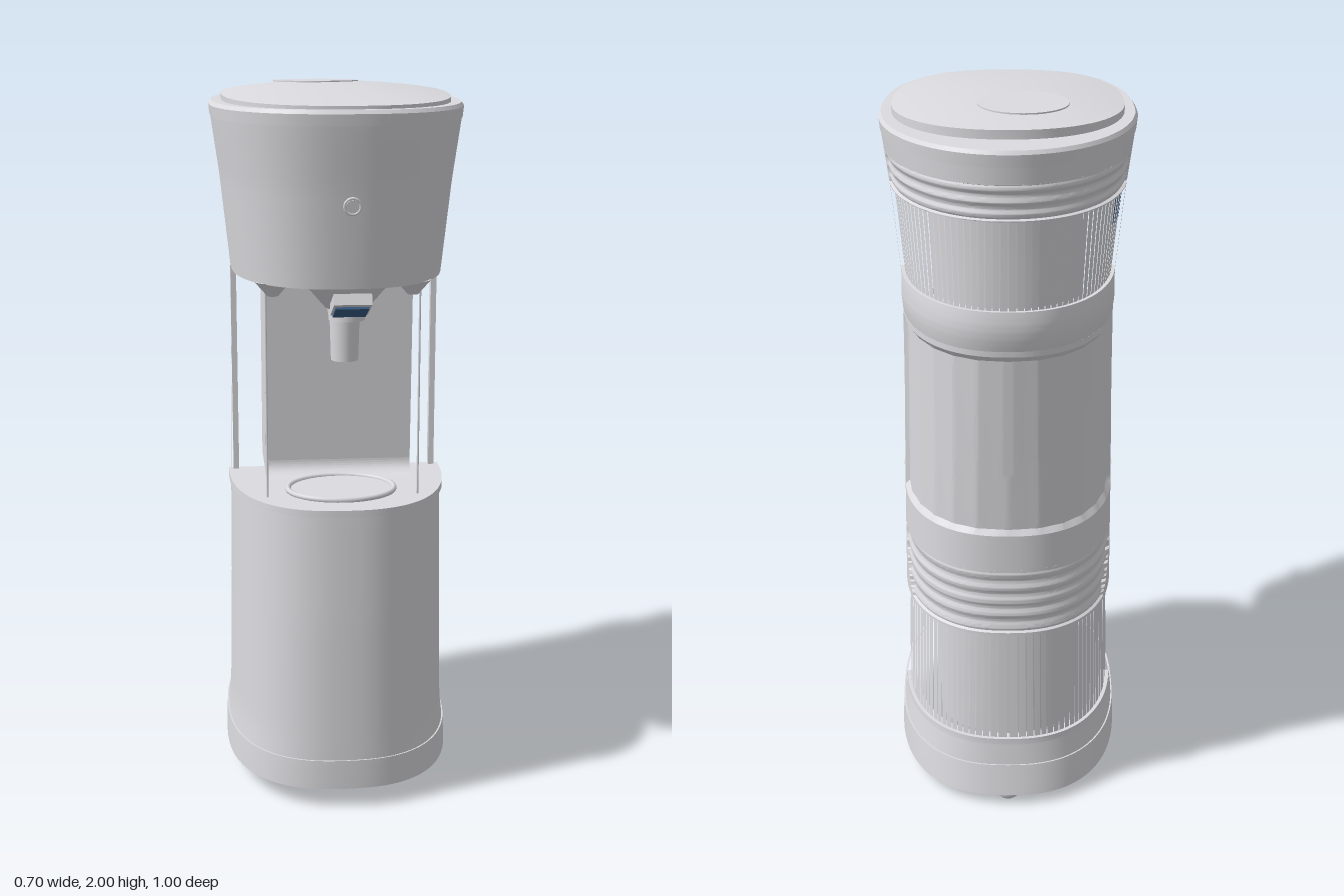
import * as THREE from 'three';
import { mergeGeometries, toCreasedNormals } from 'three/addons/utils/BufferGeometryUtils.js';

const PI = Math.PI, TAU = PI * 2;
const mat = (name, color) => Object.assign(new THREE.MeshStandardMaterial({ color }), { name });

// Body profile: height, half width, front depth, back depth, roundness of the back
const PROFILE = [
  [0.04, 0.326, 0.45, 0.465, 2.45], [0.13, 0.323, 0.45, 0.447, 2.45], [0.2, 0.315, 0.449, 0.438, 2.4],
  [0.55, 0.308, 0.444, 0.43, 2.35], [0.87, 0.304, 0.435, 0.43, 2.35], [1.2, 0.298, 0.43, 0.45, 2.3],
  [1.49, 0.296, 0.43, 0.467, 2.25], [1.75, 0.323, 0.467, 0.478, 2.1], [1.91, 0.345, 0.494, 0.494, 2.05],
  [1.96, 0.35, 0.5, 0.5, 2.05],
];

function profileAt(y) {
  let i = 0;
  while (i < PROFILE.length - 2 && y > PROFILE[i + 1][0]) i++;
  const a = PROFILE[i], b = PROFILE[i + 1];
  const t = THREE.MathUtils.clamp((y - a[0]) / (b[0] - a[0]), 0, 1);
  return [1, 2, 3, 4].map(k => a[k] + (b[k] - a[k]) * t);
}

// Oval section: fuller at the front than at the back
function oval(a, w, zf, zb, nb = 2) {
  const c = Math.cos(a), s = Math.sin(a), e = 2 / (s > 0 ? 2.5 : nb);
  return [Math.sign(c) * w * Math.abs(c) ** e, Math.sign(s) * (s > 0 ? zf : zb) * Math.abs(s) ** e];
}

function bodyPoint(a, y, inset = 0, scale = 1) {
  const [w, zf, zb, nb] = profileAt(y);
  const [x, z] = oval(a, ...[w, zf, zb].map(d => (d - inset) * scale), nb);
  return [x, y + z * 0.035 * Math.max(0, 1 - y / 0.5), z];
}

// Surface grid over u, v in 0..1
function grid(fn, nu, nv, flip = false) {
  const pos = [], idx = [];
  for (let i = 0; i <= nu; i++) for (let j = 0; j <= nv; j++) pos.push(...fn(i / nu, j / nv));
  for (let i = 0; i < nu; i++) for (let j = 0; j < nv; j++) {
    const a = i * (nv + 1) + j, b = a + 1, c = a + nv + 1, d = c + 1;
    idx.push(...(flip ? [a, c, b, b, c, d] : [a, b, c, b, d, c]));
  }
  const g = new THREE.BufferGeometry();
  g.setAttribute('position', new THREE.Float32BufferAttribute(pos, 3));
  g.setIndex(idx);
  return toCreasedNormals(g, PI / 6);
}

// Piece of the body wall; inset(u, v) pushes it inwards
const patch = (a0, a1, y0, y1, inset = () => 0, nu = 48, nv = 16) => grid((u, v) =>
  bodyPoint(a0 + (a1 - a0) * u, y0 + (y1 - y0) * v, inset(u, v)), nu, nv);

// Flat closing face of the body section
const cap = (a0, a1, y, up, grow = 0) => grid((u, v) =>
  bodyPoint(a0 + (a1 - a0) * u, y, -grow, v), 64, 1, up);

export function createModel() {
  const model = new THREE.Group();
  const grey = mat('grey plastic', 0xdcdce0);
  const blue = mat('blue accent', 0x3c6089);
  const add = (name, geo, x = 0, y = 0, z = 0, m = grey) => {
    const mesh = new THREE.Mesh(geo, m);
    mesh.name = name;
    mesh.position.set(x, y, z);
    model.add(mesh);
    return mesh;
  };
  const cyl = (r1, r2, h, n = 28) => new THREE.CylinderGeometry(r1, r2, h, n);
  const border = (u, v, du, dv) => Math.min(u / du, (1 - u) / du, v / dv, (1 - v) / dv);

  // Base skirt and underside
  add('baseSkirt', patch(0, TAU, 0.045, 0.135, () => -0.004, 80, 3));
  add('baseSkirtLip', grid((u, v) => bodyPoint(u * TAU, 0.135, v * 0.006 - 0.004), 80, 1));
  add('underside', cap(0, TAU, 0.045, false, 0.004));
  add('undersideBar', new THREE.BoxGeometry(0.46, 0.018, 0.03), 0, 0.032, -0.17);

  // Feet
  for (const [x, y, z] of [[0.2, 0.052, 0.29], [-0.2, 0.052, 0.29], [0.23, 0.03, -0.17], [-0.23, 0.03, -0.17], [0, 0.03, -0.43]]) {
    const foot = add('foot', new THREE.SphereGeometry(0.036, 20, 12), x, y, z);
    foot.scale.y = 0.03 / 0.036;
  }

  // Lower front cabinet with drip shelf
  add('frontCabinet', patch(0, PI, 0.135, 0.868));
  add('shelfRim', patch(0, PI, 0.866, 0.885, () => -0.007, 48, 1));
  add('shelfRimUnder', grid((u, v) => bodyPoint(u * PI, 0.866, -0.007 * v), 48, 1));
  add('shelfTop', cap(0, PI, 0.885, true, 0.007));
  const ring = add('dripRing', new THREE.TorusGeometry(0.15, 0.008, 8, 48), 0, 0.89, 0.245);
  ring.rotation.x = PI / 2;
  ring.scale.y = 0.8;
  const dish = add('dripDish', cyl(0.145, 0.145, 0.006, 40), 0, 0.887, 0.245);
  dish.scale.z = 0.8;

  // Alcove back panel, curving out into the shelf
  const side = new THREE.Shape();
  side.moveTo(-0.16, 0.886);
  side.lineTo(0.15, 0.886);
  side.quadraticCurveTo(0.097, 0.89, 0.095, 0.93);
  side.lineTo(0.12, 1.46);
  side.lineTo(0.12, 1.49);
  side.lineTo(-0.16, 1.49);
  const panel = new THREE.ExtrudeGeometry(side, { depth: 0.42, bevelEnabled: false });
  panel.rotateY(-PI / 2);
  add('alcovePanel', panel, 0.215);

  // Upper head
  add('headFront', patch(0, PI, 1.49, 1.915));
  add('headUnderside', cap(0, PI, 1.49, false));
  add('topRim', patch(0, TAU, 1.915, 1.955, (u, v) => v > 0.9 ? 0.006 : -0.002, 80, 4));
  add('topDeck', cap(0, TAU, 1.955, true, -0.006));

  // Domed lid with a round inlay
  const lidY = (r, z) => 1.972 + 0.025 * (1 - r * r) - z * 0.018;
  add('lid', grid((u, v) => {
    const r = Math.min(1, v * 1.1);
    const [x, z] = oval(u * TAU, 0.315 * r, 0.47 * r, 0.38 * r, 2.2);
    return [x, v > 0.95 ? 1.95 : lidY(r, z), z];
  }, 72, 11, true));
  const inlay = add('lidInlay', cyl(0.122, 0.122, 0.004, 40), -0.04, 1.9958, -0.14);
  inlay.rotation.x = -0.025;

  // Front button
  const buttonRing = add('buttonRing', new THREE.TorusGeometry(0.021, 0.004, 8, 28), 0.01, 1.71, 0.462);
  buttonRing.rotation.x = 0.14;
  const button = add('button', cyl(0.017, 0.017, 0.008), 0.01, 1.71, 0.462);
  button.rotation.x = PI / 2 + 0.14;

  // Tap: tapered mount, valve, spout, and lever with a coloured underside
  add('tapMount', cyl(0.12, 0.06, 0.07), 0.01, 1.455, 0.3);
  add('tapValve', cyl(0.05, 0.05, 0.05), 0.01, 1.41, 0.3);
  add('spoutNeck', cyl(0.05, 0.044, 0.03), 0.01, 1.393, 0.245);
  add('spout', cyl(0.042, 0.038, 0.13), 0.01, 1.325, 0.24);
  const lever = add('tapLever', new THREE.BoxGeometry(0.1, 0.03, 0.13), 0.01, 1.447, 0.418);
  lever.rotation.x = -0.4;
  const leverPad = new THREE.Mesh(new THREE.BoxGeometry(0.088, 0.006, 0.1), blue);
  leverPad.name = 'tapLeverPad';
  leverPad.position.set(0, -0.018, -0.01);
  lever.add(leverPad);

  // Slim guide rods with sockets in the head, and the column's front edges
  for (const s of [-1, 1]) {
    add('guideRod', cyl(0.003, 0.003, 0.6, 8), s * 0.21, 1.18, 0.3);
    add('rodSocket', cyl(0.05, 0.015, 0.04), s * 0.19, 1.472, 0.3);
    add('columnEdge', new THREE.BoxGeometry(0.016, 0.605, 0.025), s * 0.289, 1.1875, 0.006);
  }

  // Rear shell: plain strips along both sides
  const E = 0.13;
  add('sideStripRight', patch(PI, PI + E, 0.135, 1.915, undefined, 6, 40));
  add('sideStripLeft', patch(TAU - E, TAU, 0.135, 1.915, undefined, 6, 40));

  // Rear shell: bands between the openings; slant leans the ends of the ridges inwards
  const L = PI + E, R = TAU - E;
  const ridged = (n, slant) => (u, v) => border(u, v, 0.02 + slant * (1 - v) ** 2, 0.06) < 0.99
    ? 0 : 0.008 + 0.003 * Math.cos(v * TAU * n);
  add('rearBottomBand', patch(L, R, 0.135, 0.215));
  add('rearRidgedBand', patch(L, R, 0.55, 0.76, ridged(5, 0.12), 96, 50));
  add('rearMiddleBand', patch(L, R, 0.76, 0.85));
  add('rearBelt', patch(L, R, 1.42, 1.53, (u, v) => -0.007 * Math.sin(v * PI) * Math.min(1, border(u, 0.5, 0.05, 0.5))));
  add('rearTopBand', patch(L, R, 1.77, 1.87, ridged(3, 0), 64, 32));
  add('rearCrown', patch(L, R, 1.87, 1.915));

  // Recessed fluted rear panel
  add('rearFlutedPanel', patch(L, R, 0.85, 1.42, (u, v) =>
    border(u, v, 0.02, 0.03) < 0.99 ? 0 : 0.01 + 0.003 * Math.abs(Math.sin(u * PI * 12)), 144, 36));

  // Vent grilles: upright slats with gaps, framed by side cheeks and sills
  const grille = (name, a, y0, y1) => {
    const n = 46, step = (PI - 2 * a) / n, slats = [];
    for (let i = 0; i < n; i++) {
      const c = PI + a + step * (i + 0.5);
      slats.push(patch(c - step * 0.42, c + step * 0.42, y0, y1, () => 0.01, 2, 4));
    }
    add(name, mergeGeometries(slats));
    if (a > E) {
      add(name + 'CheekRight', patch(L, PI + a, y0, y1, undefined, 4, 4));
      add(name + 'CheekLeft', patch(TAU - a, R, y0, y1, undefined, 4, 4));
    }
    add(name + 'Sill', mergeGeometries([y0, y1].map(y =>
      grid((u, v) => bodyPoint(L + (R - L) * u, y, 0.03 * v), 48, 1, y === y1))));
    // Inner core behind the slats
    const core = add(name + 'Core', cyl(0.2, 0.2, y1 - y0 + 0.04, 40), 0, (y0 + y1) / 2, -0.22);
    core.scale.z = 0.85;
  };
  grille('upperGrille', 0.24, 1.53, 1.77);
  grille('lowerGrille', E, 0.215, 0.55);

  // Small coloured strips on the upper grille
  for (let i = 0; i < 4; i++) {
    const a = PI + 0.29 + i * 0.06;
    add('grilleStrip', patch(a, a + 0.02, 1.69, 1.76, () => 0.007, 1, 1), 0, 0, 0, blue);
  }

  return model;
}
